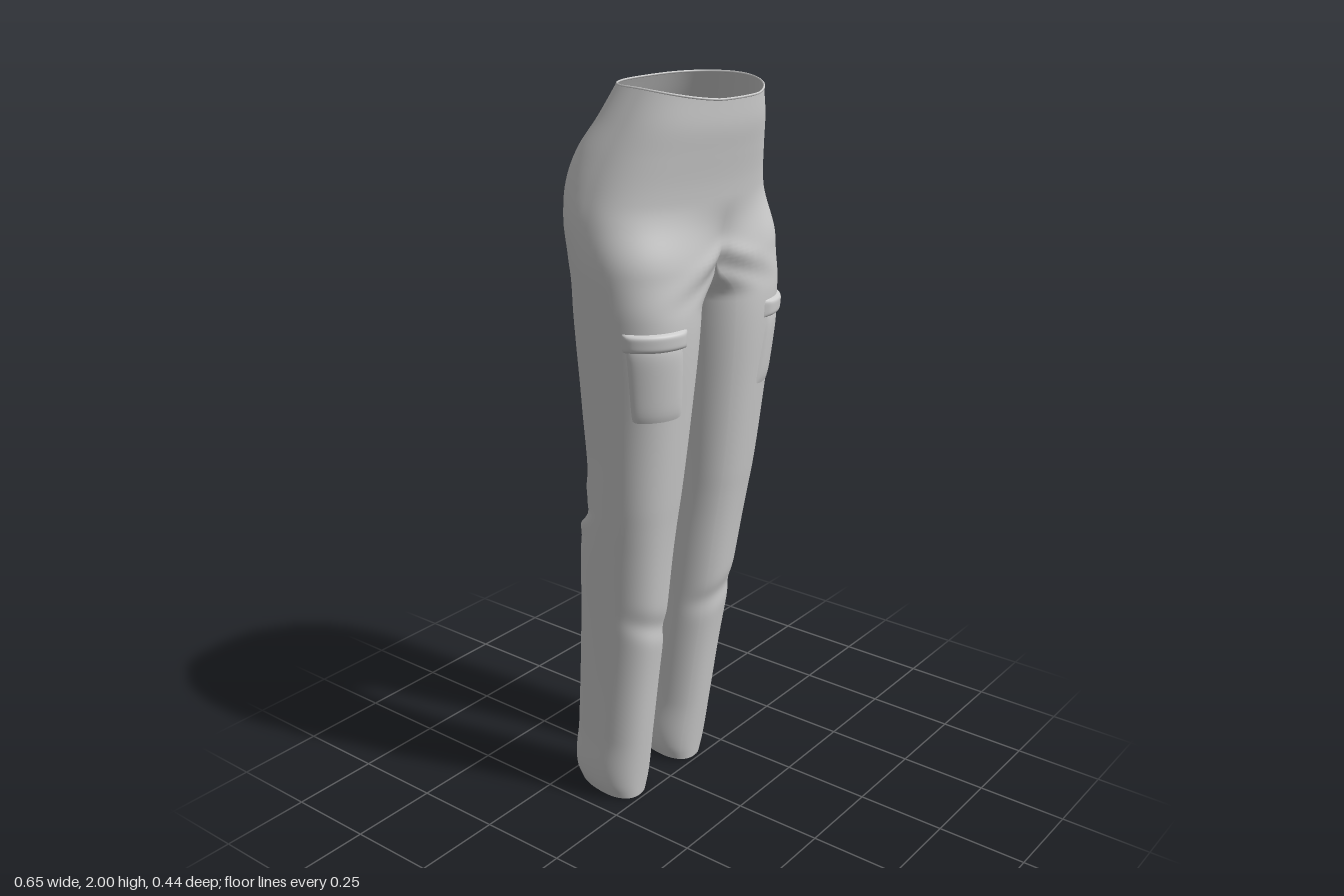
import * as THREE from 'three';
import { mergeGeometries, mergeVertices } from 'three/addons/utils/BufferGeometryUtils.js';

// Left half keyed by height: y, inner x, outer x, front z, back z
const KEYS = [
  [0.00, 0.060, 0.200, -0.012, -0.205],
  [0.04, 0.046, 0.215, -0.006, -0.216],
  [0.20, 0.050, 0.221, 0.018, -0.203],
  [0.40, 0.052, 0.230, 0.046, -0.186],
  [0.60, 0.055, 0.244, 0.077, -0.168],
  [0.80, 0.055, 0.263, 0.105, -0.150],
  [0.88, 0.054, 0.270, 0.117, -0.130],
  [0.95, 0.052, 0.275, 0.128, -0.113],
  [1.20, 0.038, 0.291, 0.160, -0.122],
  [1.40, 0.024, 0.311, 0.180, -0.130],
  [1.50, 0.016, 0.320, 0.182, -0.133],
  [1.60, 0.012, 0.325, 0.179, -0.148],
  [1.68, 0.012, 0.316, 0.179, -0.178],
  [1.76, 0.012, 0.295, 0.188, -0.190],
  [1.84, 0.012, 0.268, 0.202, -0.170],
  [1.92, 0.012, 0.236, 0.214, -0.118],
  [2.00, 0.012, 0.202, 0.219, -0.074],
];
const profile = new THREE.CubicInterpolant(
  KEYS.map(k => k[0]), KEYS.flatMap(k => k.slice(1)), 4);

const CROTCH = 1.565;
const FRONT = 0.70 * Math.PI, BACK = 0.80 * Math.PI; // ends of the outer leg arc
const { smoothstep, lerp, clamp } = THREE.MathUtils;
const spow = (v, n) => Math.sign(v) * Math.pow(Math.abs(v), 2 / n);
const bump = (d, w) => Math.exp(-(d * d) / (w * w));

// Leg section: u 0..1 runs front, outside, back; u 1..2 closes along the inside
function legSection(u, y) {
  const [xi, xo, zf, zb] = profile.evaluate(y);
  const cx = (xi + xo) / 2, rx = (xo - xi) / 2, cz = (zf + zb) / 2, rz = (zf - zb) / 2;
  const th = u <= 1 ? FRONT - (FRONT + BACK) * u
    : -BACK - (2 * Math.PI - FRONT - BACK) * (u - 1);
  const n = 2.3;
  let x = cx + rx * spow(Math.cos(th), n);
  const z = cz + rz * spow(Math.sin(th), n);
  // Near the crotch the inner edge is drawn onto the centre plane
  const edge = cx + rx * spow(Math.cos(u < 0.5 || u > 1.5 ? FRONT : BACK), n);
  const r = smoothstep(y, CROTCH - 0.11, CROTCH);
  x = lerp(x, (x - edge) * xo / (xo - edge), r);
  return [Math.max(x, clamp((CROTCH - y) * 0.2, 0, 0.012)), z];
}

// Half of the hip section, from front centre round to back centre
function hipSection(u, y) {
  const [, xo, zf, zb] = profile.evaluate(y);
  const th = Math.PI * (0.5 - u), s = Math.sin(th);
  const n = s > 0 ? 2.1 : 2.7;
  const x = u === 0 || u === 1 ? 0 : xo * spow(Math.cos(th), n);
  return [x, (zf + zb) / 2 + (zf - zb) / 2 * spow(s, n)];
}

// Point on the cloth, with folds and sloping hems
function clothPoint(u, y) {
  let [x, z] = legSection(u, Math.min(y, 1.74));
  if (y > CROTCH) {
    const k = 1 - smoothstep(y, CROTCH, 1.73);
    const [hx, hz] = hipSection(u, y);
    x = lerp(hx, x, k);
    z = lerp(hz, z, k);
  }
  const [xi, xo, zf, zb] = profile.evaluate(y);
  const side = (z - (zf + zb) / 2) / ((zf - zb) / 2);
  const front = smoothstep(side, 0.2, 0.9), back = smoothstep(-side, 0.2, 0.9);
  const dx = x - (xi + xo) / 2;
  // Curved folds behind the knee
  const knee = y - 4 * dx * dx;
  z += back * (0.010 * bump(knee - 0.875, 0.022) - 0.010 * bump(knee - 0.835, 0.02)
    - 0.006 * bump(knee - 0.95, 0.03));
  // Folds spreading from the crotch, front and back
  const d = y - (1.58 - 0.35 * x), near = bump(x, 0.15);
  z += front * near * (0.008 * bump(d - 0.015, 0.025) - 0.010 * bump(d + 0.025, 0.025));
  z += back * near * (0.006 * bump(d + 0.09, 0.025) - 0.006 * bump(d + 0.04, 0.025));
  // Dent in the shin
  z -= front * 0.008 * bump(y - 0.57 - 0.4 * dx, 0.035);
  // Waist dips at the front, leg hems drop at the front
  let py = y - 0.028 * smoothstep(y, 1.8, 2) * clamp((z - 0.03) / 0.18, 0, 1) ** 2;
  py += 0.03 * (1 - smoothstep(y, 0, 0.3)) * clamp((-0.01 - z) / 0.2, 0, 1);
  return new THREE.Vector3(x, py, z);
}

// Rectangular grid bent into place by a rule of (u, v)
function bentGrid(nu, nv, rule) {
  const g = new THREE.PlaneGeometry(1, 1, nu, nv);
  const pos = g.attributes.position, uv = g.attributes.uv;
  for (let i = 0; i < pos.count; i++) {
    const p = rule(uv.getX(i), uv.getY(i));
    pos.setXYZ(i, p.x, p.y, p.z);
  }
  g.deleteAttribute('uv');
  g.deleteAttribute('normal');
  return g;
}

function mirrored(g) {
  const m = g.clone().scale(-1, 1, 1), a = m.index.array;
  for (let i = 0; i < a.length; i += 3) [a[i], a[i + 1]] = [a[i + 1], a[i]];
  return m;
}

// Raised patch that follows the thigh
function patch(u0, u1, y0, y1, thick, lean) {
  return bentGrid(24, 16, (s, t) => {
    const y = lerp(y0, y1, t);
    const p = clothPoint(lerp(u0, u1, s) - lean * (1 - t), y);
    const [xi, xo, zf, zb] = profile.evaluate(y);
    const out = new THREE.Vector3(p.x - (xi + xo) / 2, 0, p.z - (zf + zb) / 2).normalize();
    const dome = (1 - (2 * s - 1) ** 10) * (1 - (2 * t - 1) ** 6);
    return p.addScaledVector(out, thick * dome - 0.002);
  });
}

export function createModel() {
  const group = new THREE.Group();
  const cloth = new THREE.MeshStandardMaterial({ color: 0xcccccc, side: THREE.DoubleSide });
  const add = (name, geometry) => {
    geometry.computeVertexNormals();
    const mesh = new THREE.Mesh(geometry, cloth);
    mesh.name = name;
    group.add(mesh);
  };

  // Hips and both legs as one continuous skin
  const leg = bentGrid(96, 130, (u, v) => clothPoint(u === 1 ? 0 : 2 * u, CROTCH * v));
  const hip = bentGrid(48, 44, (u, v) => clothPoint(u, lerp(CROTCH, 2, v)));
  add('trousers', mergeVertices(
    mergeGeometries([leg, hip, mirrored(leg), mirrored(hip)]), 1e-5));

  // Rolled edge of the waist
  const rim = [];
  for (let i = 0; i < 48; i++) {
    const u = i / 24, p = clothPoint(u <= 1 ? u : 2 - u, 2);
    rim.push(new THREE.Vector3(u <= 1 ? p.x : -p.x, p.y - 0.003, p.z));
  }
  add('waistEdge', new THREE.TubeGeometry(
    new THREE.CatmullRomCurve3(rim, true), 96, 0.003, 6, true));

  // Thigh pockets with flaps
  const pocket = patch(0.145, 0.385, 1.19, 1.40, 0.007, 0.02);
  const flap = patch(0.13, 0.395, 1.382, 1.432, 0.014, 0);
  add('leftPocket', pocket);
  add('leftPocketFlap', flap);
  add('rightPocket', mirrored(pocket));
  add('rightPocketFlap', mirrored(flap));
  return group;
}
